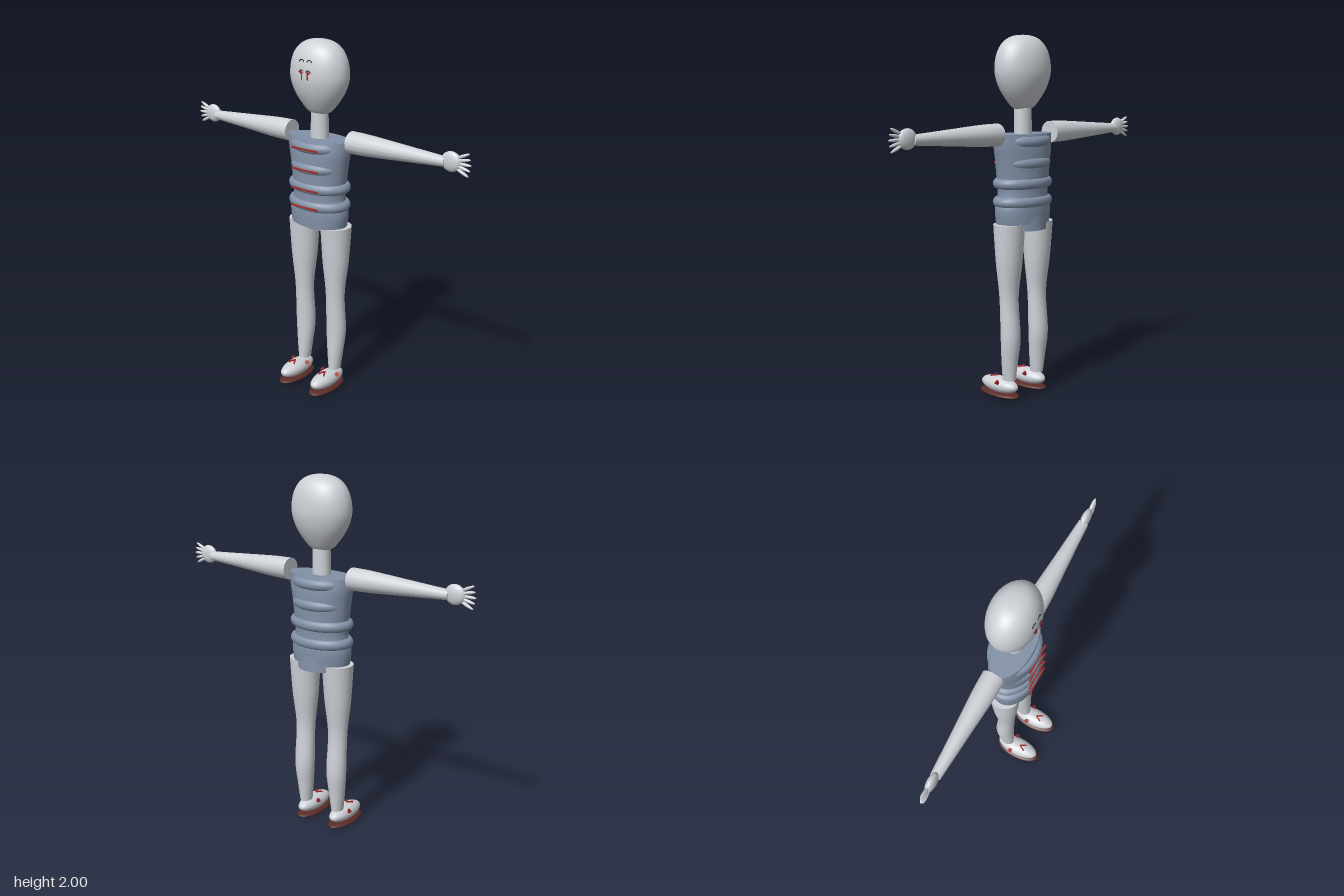
import * as THREE from 'three';

const mat = (name, color, side = THREE.FrontSide) => {
  const m = new THREE.MeshStandardMaterial({ color, side });
  m.name = name;
  return m;
};

// Smooth skin through elliptical rings [y, centreX, centreZ, radiusX, radiusZ], with flat end caps
function loft(rings, sides = 32) {
  const pos = [], idx = [];
  const addRing = ([y, cx, cz, rx, rz]) => {
    for (let i = 0; i <= sides; i++) {
      const a = (i / sides) * Math.PI * 2;
      pos.push(cx + Math.sin(a) * rx, y, cz + Math.cos(a) * rz);
    }
  };
  rings.forEach(addRing);
  const n = sides + 1;
  for (let r = 0; r < rings.length - 1; r++) {
    for (let i = 0; i < sides; i++) {
      const a = r * n + i, b = a + n;
      idx.push(a, a + 1, b, a + 1, b + 1, b);
    }
  }
  [rings[0], rings[rings.length - 1]].forEach((ring, end) => {
    const start = pos.length / 3;
    addRing(ring);
    const c = pos.length / 3;
    pos.push(ring[1], ring[0], ring[2]);
    for (let i = 0; i < sides; i++) {
      if (end) idx.push(c, start + i, start + i + 1);
      else idx.push(c, start + i + 1, start + i);
    }
  });
  const g = new THREE.BufferGeometry();
  g.setAttribute('position', new THREE.Float32BufferAttribute(pos, 3));
  g.setIndex(idx);
  g.computeVertexNormals();
  return g;
}

// Fill in a few ring sections with a smooth curve
function smoothRings(rings, steps) {
  const out = [];
  const last = rings.length - 1;
  for (let s = 0; s <= steps; s++) {
    const t = (s / steps) * last;
    const i = Math.min(Math.floor(t), last - 1), f = t - i;
    const at = (k) => rings[Math.max(0, Math.min(last, k))];
    out.push(rings[0].map((_, j) => {
      const [a, b, c, d] = [at(i - 1)[j], at(i)[j], at(i + 1)[j], at(i + 2)[j]];
      return b + 0.5 * f * (c - a + f * (2 * a - 5 * b + 4 * c - d + f * (3 * (b - c) + d - a)));
    }));
  }
  return out;
}

export function createModel() {
  const skin = mat('paleSkin', 0xcdd1d6);
  const knit = mat('blueGreyKnit', 0x8392a8);
  const red = mat('red', 0xa52a26);
  const soleMat = mat('darkSole', 0x5a2c28);
  const dark = mat('darkBrow', 0x26262a);

  const model = new THREE.Group();
  model.name = 'figure';
  const add = (parent, name, geo, material, x = 0, y = 0, z = 0) => {
    const m = new THREE.Mesh(geo, material);
    m.name = name;
    m.position.set(x, y, z);
    parent.add(m);
    return m;
  };
  const ball = new THREE.SphereGeometry(1, 32, 20);

  // Egg-shaped head, flattened front to back
  const outline = [[0, 1.6], [0.06, 1.612], [0.1, 1.65], [0.143, 1.71], [0.168, 1.77], [0.175, 1.82],
    [0.168, 1.88], [0.145, 1.935], [0.105, 1.975], [0.055, 1.995], [0, 2]];
  const curve = new THREE.SplineCurve(outline.map(([x, y]) => new THREE.Vector2(x, y)));
  const profile = curve.getPoints(36).map((p) => new THREE.Vector2(Math.max(0, p.x), p.y));
  add(model, 'head', new THREE.LatheGeometry(profile, 40), skin, 0, 0, -0.037).scale.z = 0.73;
  add(model, 'neck', loft([[1.44, 0, -0.037, 0.052, 0.048], [1.63, 0, -0.037, 0.048, 0.046]]), skin);

  // Pullover body and the seat below it
  add(model, 'torso', loft(smoothRings([
    [0.99, 0, -0.037, 0.172, 0.118],
    [1.07, 0, -0.037, 0.18, 0.121],
    [1.15, 0, -0.037, 0.158, 0.116],
    [1.25, 0, -0.037, 0.167, 0.118],
    [1.34, 0, -0.037, 0.18, 0.118],
    [1.41, 0, -0.037, 0.194, 0.114],
    [1.475, 0, -0.037, 0.2, 0.1],
  ], 36), 40), knit);
  add(model, 'seat', loft([[0.955, 0, -0.072, 0.118, 0.09], [1.04, 0, -0.068, 0.126, 0.09]]), knit);

  // Padded bands with a thin red stripe on the front of each
  [[1.435, 0.172, 0.133], [1.32, 0.17, 0.133], [1.21, 0.19, 0.132], [1.11, 0.19, 0.132]].forEach(([y, rx, rz]) => {
    const tube = 0.028;
    const g = new THREE.TorusGeometry(rx - tube, tube, 14, 48);
    g.rotateX(Math.PI / 2);
    add(model, 'band', g, knit, 0, y, -0.037).scale.z = rz / rx;
    add(model, 'bandStripe', new THREE.BoxGeometry(0.175, 0.009, 0.009), red, 0, y - 0.004, 0.094);
  });

  // Tapered arm along y, turned outwards on each side
  const armGeo = loft(smoothRings([
    [0, 0, 0, 0.06, 0.06], [0.12, 0, 0, 0.057, 0.057], [0.33, 0, 0, 0.043, 0.043], [0.58, 0, 0, 0.026, 0.028],
  ], 18), 28);

  // Leg swelling at thigh and calf
  const legGeo = loft(smoothRings([
    [0.115, 0, -0.04, 0.033, 0.04],
    [0.22, 0, -0.045, 0.046, 0.046],
    [0.36, 0, -0.052, 0.058, 0.053],
    [0.58, 0, -0.04, 0.056, 0.05],
    [0.78, 0, -0.041, 0.076, 0.07],
    [0.99, 0, -0.042, 0.087, 0.087],
  ], 30), 32);

  for (const s of [1, -1]) {
    const side = s > 0 ? 'left' : 'right';

    const arm = new THREE.Group();
    arm.name = side + 'Arm';
    model.add(arm);
    add(arm, 'sleevelessArm', armGeo, skin, s * 0.205, 1.476, -0.048).rotation.z = -s * Math.PI / 2;
    add(arm, 'palm', ball, skin, s * 0.815, 1.483, -0.048).scale.set(0.056, 0.052, 0.024);
    for (let i = -2; i <= 2; i++) {
      const angle = i * 0.22;
      const finger = add(arm, 'finger', ball, skin,
        s * (0.887 - Math.abs(i) * 0.005), 1.48 + i * 0.02, -0.046);
      finger.scale.set(0.043, 0.0085, 0.009);
      finger.rotation.z = s * angle;
    }

    const leg = new THREE.Group();
    leg.name = side + 'Leg';
    leg.position.x = s * 0.112;
    model.add(leg);
    add(leg, 'leg', legGeo, skin);
    add(leg, 'foot', ball, skin, 0, 0.073, 0.033).scale.set(0.056, 0.045, 0.132);
    add(leg, 'sole', ball, soleMat, 0, 0.023, 0.035).scale.set(0.064, 0.018, 0.14);

    // Small red shoe trims: a V on the instep and a spike on each side
    for (const k of [1, -1]) {
      const lace = add(leg, 'lace', new THREE.BoxGeometry(0.007, 0.012, 0.04), red, k * 0.01, 0.116, 0.068);
      lace.rotation.set(0.12, k * 0.5, 0);
      const spike = add(leg, 'sideTrim', new THREE.ConeGeometry(0.014, 0.036, 10), red, k * 0.046, 0.09, 0);
      spike.rotation.set(0.5, 0, k * 2.6);
    }

    // Weeping eye and curved brow
    const eye = new THREE.Group();
    eye.name = side + 'Eye';
    eye.position.set(s * 0.022, 1.835, 0.086);
    model.add(eye);
    const lid = add(eye, 'eyelid', new THREE.TorusGeometry(0.014, 0.004, 8, 14, Math.PI), dark, 0, 0.004, 0);
    lid.scale.y = 0.8;
    add(eye, 'eyeball', ball, red, 0, 0.004, 0).scale.set(0.012, 0.01, 0.007);
    add(eye, 'tear', ball, red, -s * 0.003, -0.018, 0.002).scale.set(0.005, 0.02, 0.005);
    const brow = add(model, side + 'Brow', new THREE.TorusGeometry(0.014, 0.003, 8, 14, Math.PI),
      dark, s * 0.025, 1.893, 0.08);
    brow.scale.y = 0.8;
  }
  return model;
}
